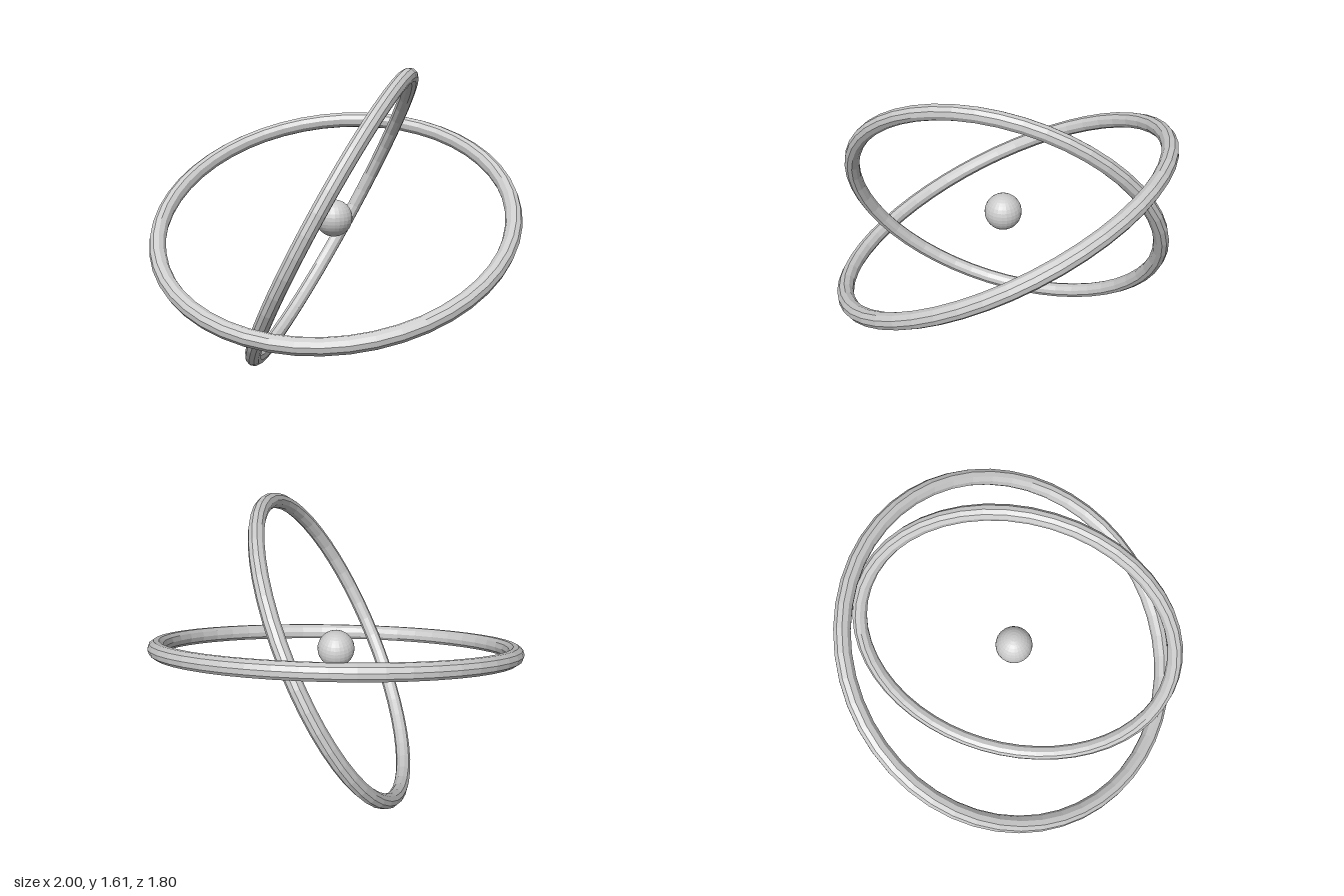
import * as THREE from 'three';

const TILT = 0.47;
const CENTRE_Y = 0.807;

export function createModel() {
  const model = new THREE.Group();
  const material = new THREE.MeshStandardMaterial({ color: 0xcccccc, flatShading: true });

  const add = (name, geometry) => {
    const mesh = new THREE.Mesh(geometry, material);
    mesh.name = name;
    mesh.position.y = CENTRE_Y;
    model.add(mesh);
  };

  // Wide ring, lying flat and dipping towards the front
  add('outerRing', new THREE.TorusGeometry(0.955, 0.045, 10, 48).rotateX(Math.PI / 2 + TILT));

  // Smaller upright ring, leaning towards +x
  add('innerRing', new THREE.TorusGeometry(0.859, 0.041, 10, 48).rotateY(Math.PI / 2).rotateZ(-TILT));

  // Small ball at the shared centre
  add('core', new THREE.SphereGeometry(0.1, 24, 16));

  return model;
}
